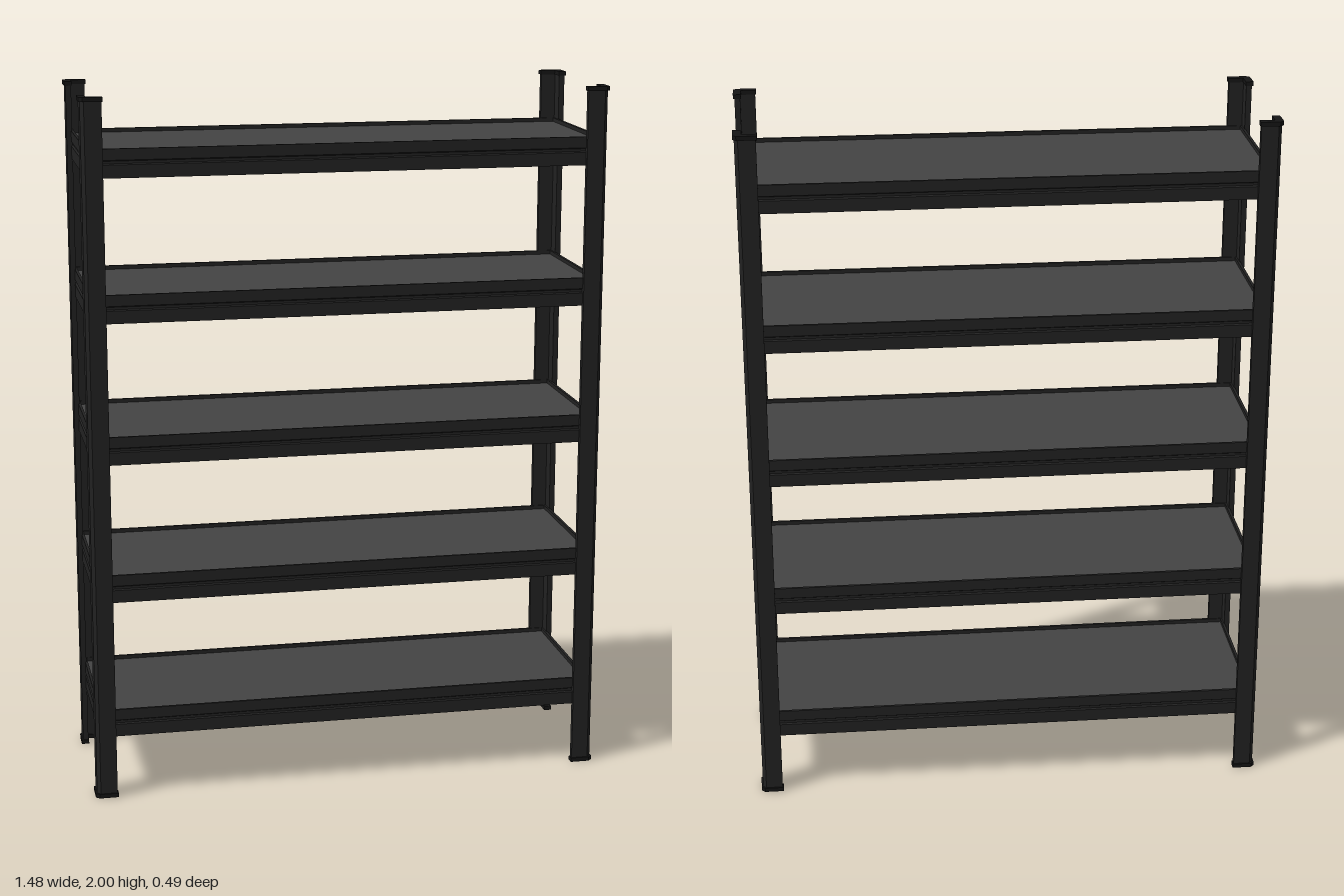
import * as THREE from 'three';

const frame = new THREE.MeshStandardMaterial({ name: 'dark steel', color: 0x222222 });
const panel = new THREE.MeshStandardMaterial({ name: 'grey board', color: 0x444444 });
const rubber = new THREE.MeshStandardMaterial({ name: 'black plastic', color: 0x151515 });

const polygon = (pts) => new THREE.Shape(pts.map(([x, y]) => new THREE.Vector2(x, y)));

function add(parent, geometry, material, name) {
  const mesh = new THREE.Mesh(geometry, material);
  mesh.name = name;
  parent.add(mesh);
  return mesh;
}

// Upright L section for the corner (sx, sz), with a bevelled outer edge
function angleSection(sx, sz, x, z, leg, t, y0, height) {
  const c = 0.01;
  const pts = [
    [x - leg, z], [x - c, z], [x, z - c], [x, z - leg],
    [x - t, z - leg], [x - t, z - t], [x - leg, z - t],
  ];
  const shape = polygon(pts.map(([px, pz]) => [sx * px, -sz * pz]));
  const geometry = new THREE.ExtrudeGeometry(shape, { depth: height, bevelEnabled: false });
  return geometry.rotateX(-Math.PI / 2).translate(0, y0, 0);
}

// Folded beam: rim, shallow groove, and an inner ledge that carries the board
function beam(reach, length) {
  const pts = [
    [-0.03, 0], [0, 0], [0, 0.036], [-0.005, 0.039], [-0.005, 0.046], [0, 0.049],
    [0, 0.08], [-0.008, 0.08], [-0.008, 0.055], [-0.03, 0.055], [-0.03, 0.048],
    [-0.012, 0.048], [-0.012, 0.008], [-0.03, 0.008],
  ];
  const shape = polygon(pts.map(([u, v]) => [reach + u, v]));
  const geometry = new THREE.ExtrudeGeometry(shape, { depth: length, bevelEnabled: false });
  return geometry.translate(0, 0, -length / 2);
}

export function createModel() {
  const model = new THREE.Group();
  model.name = 'shelvingRack';

  // Corner posts with plastic end caps
  for (const sx of [-1, 1]) {
    for (const sz of [-1, 1]) {
      const post = new THREE.Group();
      post.name = 'cornerPost';
      add(post, angleSection(sx, sz, 0.735, 0.243, 0.058, 0.016, 0.012, 1.976), frame, 'postAngle');
      for (const y of [0, 1.988]) {
        add(post, angleSection(sx, sz, 0.739, 0.247, 0.065, 0.022, y, 0.012), rubber, 'postCap');
      }
      model.add(post);
    }
  }

  // Five shelves
  const longBeam = beam(0.232, 1.43);
  const shortBeam = beam(0.722, 0.45);
  const board = new THREE.BoxGeometry(1.428, 0.014, 0.448);
  const spanX = 1.38, spanZ = 0.41;
  const brace = new THREE.BoxGeometry(Math.hypot(spanX, spanZ), 0.012, 0.03);
  for (let i = 0; i < 5; i++) {
    const shelf = new THREE.Group();
    shelf.name = 'shelf' + (i + 1);
    shelf.position.y = 0.18 + i * 0.4;
    add(shelf, board, panel, 'shelfBoard').position.y = 0.062;
    for (const side of [-1, 1]) {
      add(shelf, longBeam, frame, 'longBeam').rotation.y = side * Math.PI / 2;
      add(shelf, shortBeam, frame, 'shortBeam').rotation.y = side > 0 ? 0 : Math.PI;
      // Crossed braces under the board
      const bar = add(shelf, brace, frame, 'crossBrace');
      bar.position.y = 0.036 + side * 0.006;
      bar.rotation.y = side * Math.atan2(spanZ, spanX);
    }
    model.add(shelf);
  }
  return model;
}
